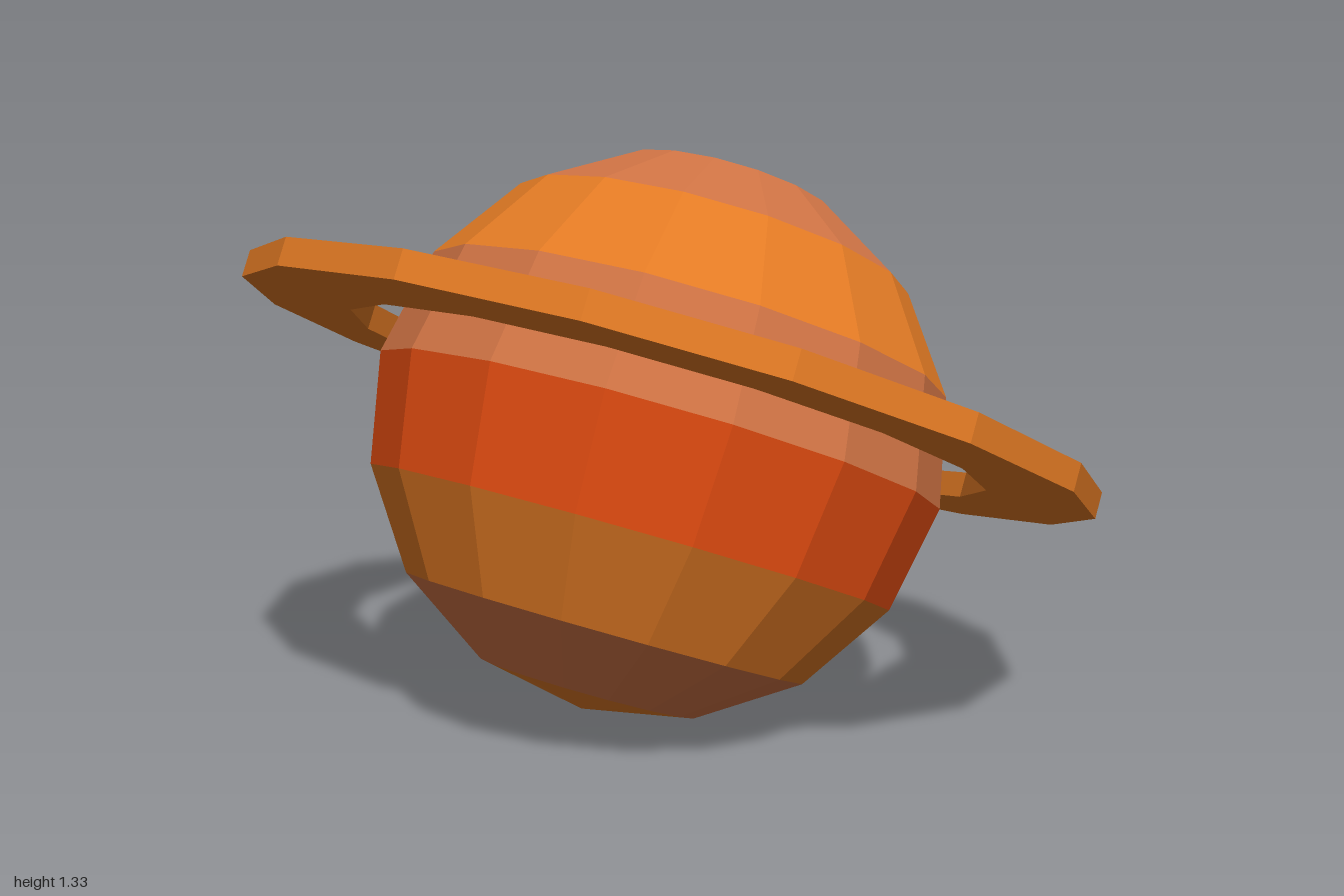
import * as THREE from 'three';

const SIDES = 16;
const STEP = Math.PI / SIDES;          // half a facet, so flat sides face the axes
const TO_CORNER = 1 / Math.cos(STEP);  // flat-side distance to corner radius

const mat = (name, color) => {
  const m = new THREE.MeshStandardMaterial({ color });
  m.name = name;
  return m;
};

// Faceted mesh with one normal per face
function facetedMesh(name, geometry, material) {
  const g = geometry.toNonIndexed();
  g.computeVertexNormals();
  const mesh = new THREE.Mesh(g, material);
  mesh.name = name;
  return mesh;
}

export function createModel() {
  const orange = mat('orange', 0xe27a24);
  const tan = mat('dusty tan', 0xcf7344);
  const red = mat('red orange', 0xdd4a10);

  // Everything shares one tilted axis
  const model = new THREE.Group();
  model.name = 'ringedPlanet';
  const tilted = new THREE.Group();
  tilted.name = 'tiltedPlanet';
  tilted.position.set(0, 0.665, 0.038);
  tilted.rotation.x = -Math.PI / 8;
  model.add(tilted);

  // Globe: eight latitude bands from north to south pole
  const R = 0.665;
  const globe = new THREE.Group();
  globe.name = 'globe';
  const bands = [orange, tan, orange, tan, red, orange, tan, orange];
  const radiusAt = (i) => (i % 8 === 0 ? 0 : R * TO_CORNER * Math.sin((i * Math.PI) / 8));
  const heightAt = (i) => R * Math.cos((i * Math.PI) / 8);
  bands.forEach((material, i) => {
    const top = heightAt(i), bottom = heightAt(i + 1);
    const band = facetedMesh(
      `band${i + 1}`,
      new THREE.CylinderGeometry(radiusAt(i), radiusAt(i + 1), top - bottom, SIDES, 1, true, STEP),
      material
    );
    band.position.y = (top + bottom) / 2;
    globe.add(band);
  });
  tilted.add(globe);

  // Ring: flat underside, two grooves cut in the top
  const h = 0.031, floor = h - 0.038;
  const profile = [
    [0.754, -h], [1, -h], [1, h],
    [0.957, h], [0.957, floor], [0.914, floor], [0.914, h],
    [0.84, h], [0.84, floor], [0.797, floor], [0.797, h],
    [0.754, h], [0.754, -h],
  ].map(([r, y]) => new THREE.Vector2(r * TO_CORNER, y));
  const ring = facetedMesh('ring', new THREE.LatheGeometry(profile, SIDES, STEP), orange);
  ring.position.y = 0.1;
  tilted.add(ring);

  return model;
}
